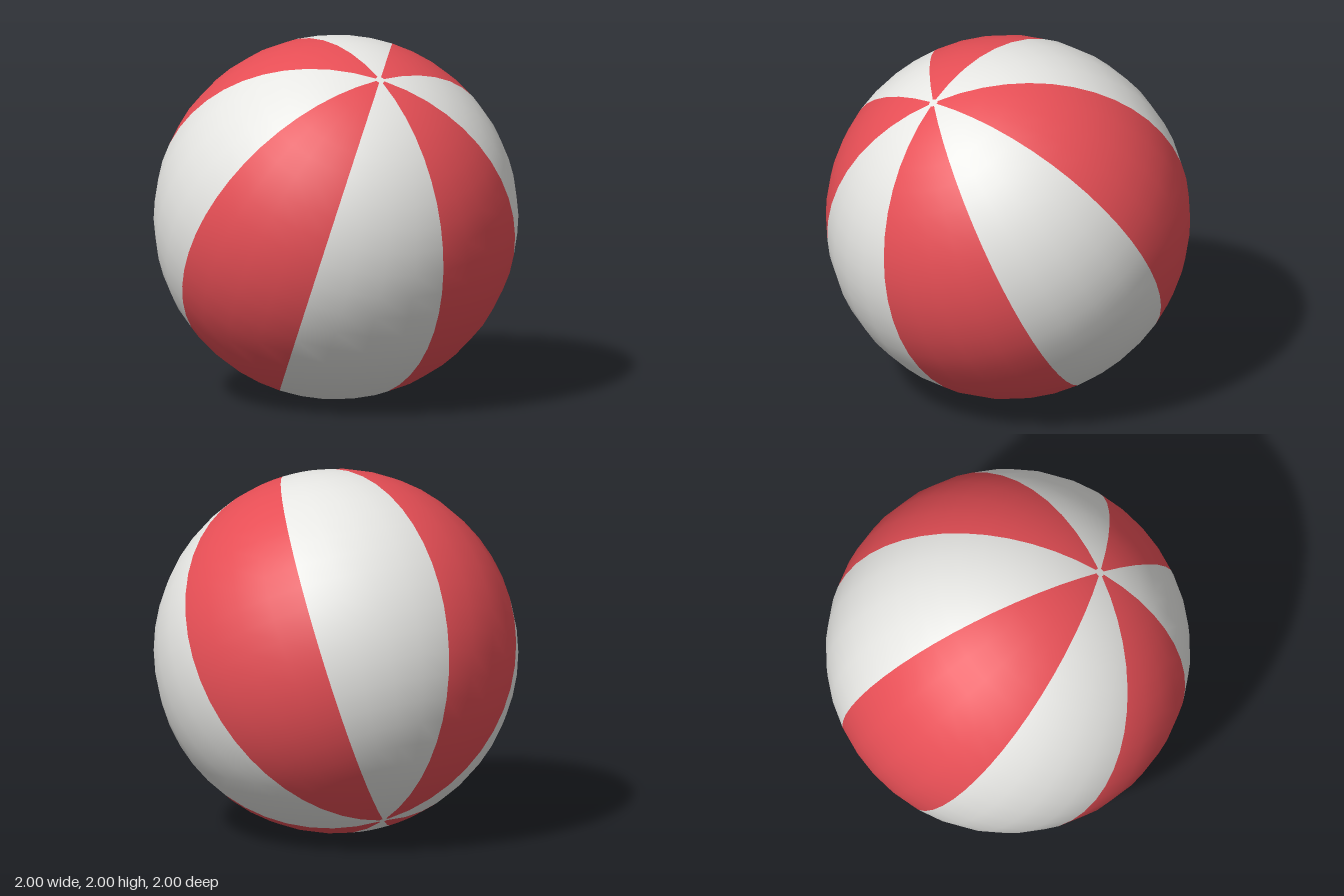
import * as THREE from 'three';

export function createModel() {
  const white = new THREE.MeshStandardMaterial({ color: 0xe6e6e3 });
  white.name = 'white';
  const red = new THREE.MeshStandardMaterial({ color: 0xe64e55 });
  red.name = 'red';

  const ball = new THREE.Group();
  ball.name = 'beachBall';
  const panels = 8, cap = 0.025, step = (Math.PI * 2) / panels;

  function add(name, material, ...sphereArgs) {
    const mesh = new THREE.Mesh(new THREE.SphereGeometry(1, ...sphereArgs), material);
    mesh.name = name;
    ball.add(mesh);
  }

  // Alternating panels running from pole to pole
  for (let i = 0; i < panels; i++) {
    const isRed = i % 2 === 1;
    add(isRed ? 'redPanel' : 'whitePanel', isRed ? red : white,
      4, 24, i * step, step, cap, Math.PI - 2 * cap);
  }

  // Small white caps closing both poles
  add('topCap', white, 32, 1, 0, Math.PI * 2, 0, cap);
  add('bottomCap', white, 32, 1, 0, Math.PI * 2, Math.PI - cap, cap);

  // Tilt the pole axis, keeping one seam in the plane of the x axis
  const pole = new THREE.Vector3(0.335, 0.85, 0.405).normalize();
  const side = new THREE.Vector3(1, 0, 0).addScaledVector(pole, -pole.x).normalize();
  const front = new THREE.Vector3().crossVectors(side, pole);
  ball.quaternion.setFromRotationMatrix(new THREE.Matrix4().makeBasis(side, pole, front));
  ball.position.y = 1;

  const model = new THREE.Group();
  model.name = 'model';
  model.add(ball);
  return model;
}
